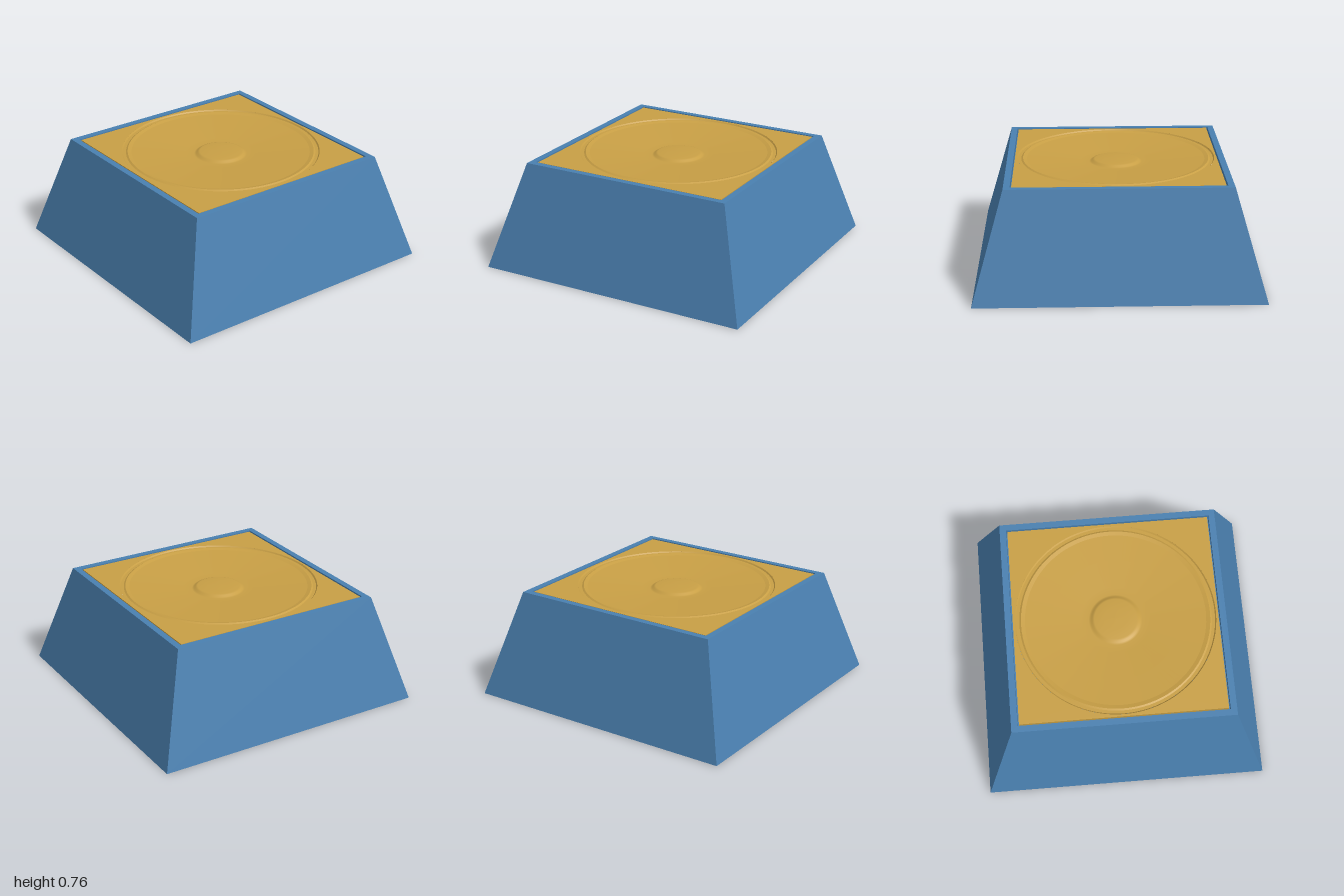
import * as THREE from 'three';

const BASE = 1, TOP = 0.78, HEIGHT = 0.76;

function addSquare(path, h) {
  path.moveTo(-h, -h);
  path.lineTo(h, -h);
  path.lineTo(h, h);
  path.lineTo(-h, h);
  path.closePath();
  return path;
}

function addCircle(path, r) {
  path.absarc(0, 0, r, 0, Math.PI * 2);
  return path;
}

// Horizontal plate between two heights, cut by the given holes
function plate(shape, holes, y0, y1) {
  shape.holes.push(...holes);
  const g = new THREE.ExtrudeGeometry(shape, { depth: y1 - y0, bevelEnabled: false, curveSegments: 64 });
  g.rotateX(-Math.PI / 2);
  g.translate(0, y0, 0);
  return g;
}

export function createModel() {
  const group = new THREE.Group();
  const blue = new THREE.MeshStandardMaterial({ color: 0x4a80b0 });
  const gold = new THREE.MeshStandardMaterial({ color: 0xc89f45 });
  const green = new THREE.MeshStandardMaterial({ color: 0x557a50 });
  const add = (name, geometry, material) => {
    const m = new THREE.Mesh(geometry, material);
    m.name = name;
    group.add(m);
  };

  // Four sloping walls of the housing
  let walls = new THREE.CylinderGeometry(TOP * Math.SQRT2, BASE * Math.SQRT2, HEIGHT, 4, 1, true);
  walls.rotateY(Math.PI / 4);
  walls.translate(0, HEIGHT / 2, 0);
  walls = walls.toNonIndexed();
  walls.computeVertexNormals();
  add('housingWalls', walls, blue);

  // Top rim around the panel, with a ledge closing the thin gap
  add('topRim', plate(addSquare(new THREE.Shape(), TOP), [addSquare(new THREE.Path(), 0.735)], 0.70, HEIGHT), blue);
  add('panelLedge', plate(addSquare(new THREE.Shape(), 0.75), [addCircle(new THREE.Path(), 0.705)], 0.68, 0.71), blue);

  // Square panel with a round opening
  add('panel', plate(addSquare(new THREE.Shape(), 0.725), [addCircle(new THREE.Path(), 0.71)], 0.71, 0.757), gold);

  // Stepped round surround; each straight run has its own sharp edges
  const steps = [[0.71, 0.757], [0.702, 0.748], [0.68, 0.748], [0.668, 0.755], [0.64, 0.748]];
  for (let i = 0; i < steps.length - 1; i++) {
    const pair = [steps[i + 1], steps[i]].map(([r, y]) => new THREE.Vector2(r, y));
    const g = new THREE.LatheGeometry(pair.reverse(), 96);
    add('surroundStep' + (i + 1), g, gold);
  }

  // Shallow dish rising into a low central cap
  const dish = [[0.64, 0.748], [0.45, 0.735], [0.25, 0.722], [0.19, 0.718], [0.175, 0.722],
    [0.165, 0.732], [0.15, 0.737], [0.08, 0.74], [0, 0.741]];
  add('dish', new THREE.LatheGeometry(dish.map(([r, y]) => new THREE.Vector2(r, y)), 96), gold);

  // Underside frame and inset base plate with a finger slot on the left edge
  add('baseFrame', plate(addSquare(new THREE.Shape(), 0.998), [addSquare(new THREE.Path(), 0.95)], 0, 0.006), blue);
  const slot = new THREE.Path();
  slot.moveTo(0.885, -0.13);
  slot.lineTo(0.93, -0.13);
  slot.lineTo(0.93, 0.13);
  slot.lineTo(0.885, 0.13);
  slot.closePath();
  add('basePlate', plate(addSquare(new THREE.Shape(), 0.94), [slot], 0.004, 0.06), blue);
  add('baseBacking', plate(addSquare(new THREE.Shape(), 0.97), [], 0.06, 0.07), blue);

  // Thin ring on the underside
  add('baseRing', plate(addCircle(new THREE.Shape(), 0.61), [addCircle(new THREE.Path(), 0.555)], 0.001, 0.005), green);

  return group;
}
